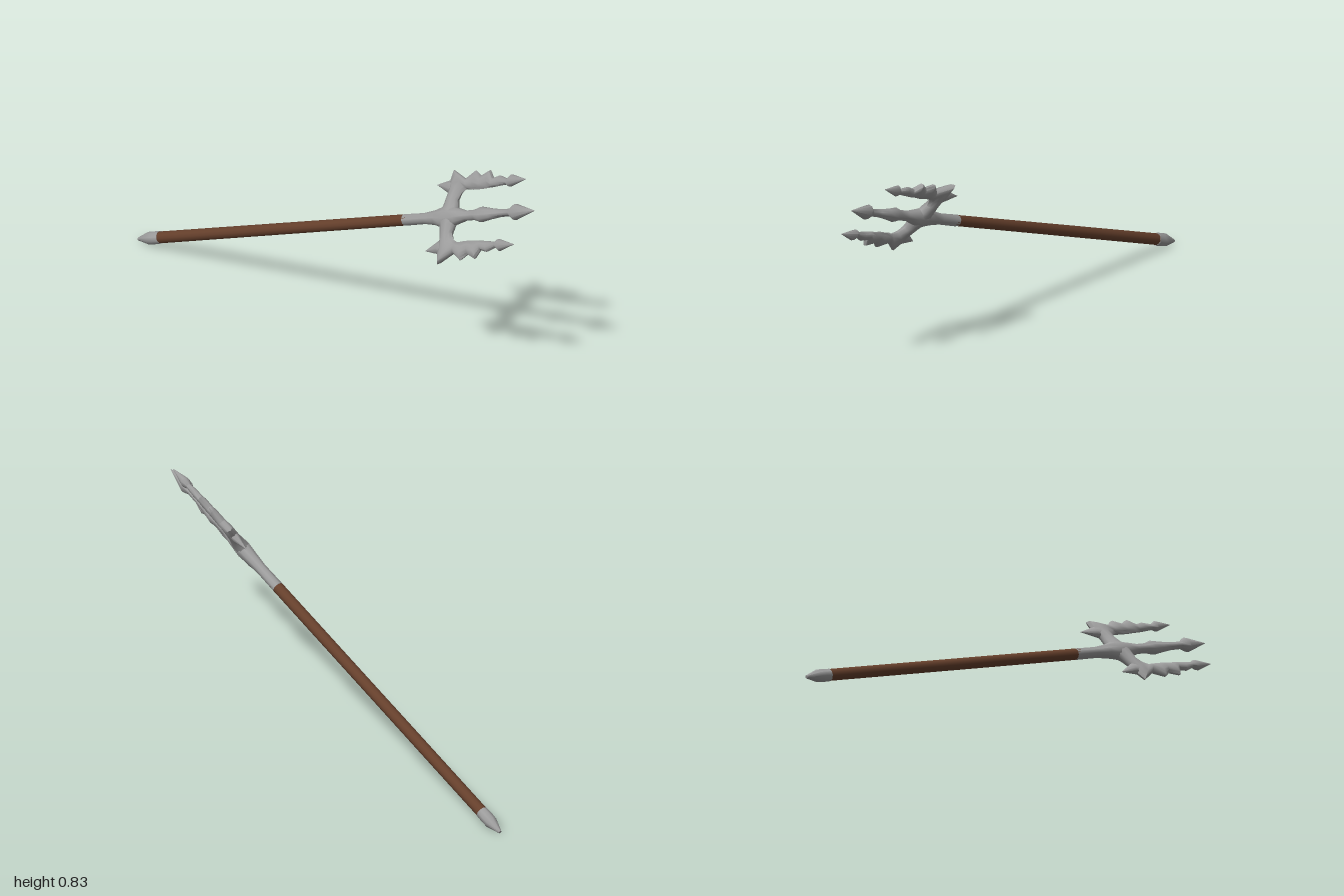
import * as THREE from 'three';
import { toCreasedNormals } from 'three/addons/utils/BufferGeometryUtils.js';

const SIDES = 10;

// Loft through elliptical rings: [x1, y1, x2, y2, halfThickness]
function loft(rings) {
  const pos = [], index = [];
  for (const [x1, y1, x2, y2, t] of rings) {
    for (let j = 0; j < SIDES; j++) {
      const a = (j / SIDES) * Math.PI * 2, c = Math.cos(a) / 2;
      pos.push((x1 + x2) / 2 + c * (x2 - x1), (y1 + y2) / 2 + c * (y2 - y1), Math.sin(a) * t);
    }
  }
  for (let i = 0; i < rings.length - 1; i++) {
    for (let j = 0; j < SIDES; j++) {
      const k = (j + 1) % SIDES;
      const a = i * SIDES + j, b = i * SIDES + k, c = b + SIDES, d = a + SIDES;
      index.push(a, b, c, a, c, d);
    }
  }
  // End caps
  const last = (rings.length - 1) * SIDES;
  for (let j = 1; j < SIDES - 1; j++) {
    index.push(0, j + 1, j, last, last + j, last + j + 1);
  }
  const geo = new THREE.BufferGeometry();
  geo.setAttribute('position', new THREE.Float32BufferAttribute(pos, 3));
  geo.setIndex(index);
  return toCreasedNormals(geo, 0.9);
}

const mirror = (rings) => rings.map(([x1, y1, x2, y2, t]) => [-x2, y2, -x1, y1, t]);
const straight = (rings) => rings.map(([w, y, t]) => [w, y, -w, y, t]);

export function createModel() {
  const metal = new THREE.MeshStandardMaterial({ color: 0x9c9c9c });
  metal.name = 'grey metal';
  const wood = new THREE.MeshStandardMaterial({ color: 0x66402c });
  wood.name = 'brown wood';

  const trident = new THREE.Group();
  trident.name = 'trident';
  const add = (name, geo, mat) => {
    const mesh = new THREE.Mesh(geo, mat);
    mesh.name = name;
    trident.add(mesh);
    return mesh;
  };

  // Wooden shaft, along local y
  add('shaft', new THREE.CylinderGeometry(0.022, 0.023, 1.35, 12), wood).position.y = 0.785;

  // Pointed metal butt cap
  add('buttCap', loft(straight([
    [0.006, 0, 0.006], [0.025, 0.06, 0.025], [0.026, 0.085, 0.026], [0.025, 0.118, 0.025],
  ])), metal);

  // Collar, hub and middle prong
  add('middleProng', loft(straight([
    [0.023, 1.44, 0.023], [0.022, 1.55, 0.022], [0.03, 1.61, 0.027], [0.048, 1.665, 0.032],
    [0.034, 1.72, 0.027], [0.02, 1.77, 0.02], [0.021, 1.82, 0.02], [0.031, 1.853, 0.026],
    [0.023, 1.9, 0.02], [0.016, 1.95, 0.016], [0.015, 2.005, 0.015], [0.033, 2.035, 0.026],
    [0.001, 2.137, 0.001],
  ])), metal);

  // Curved arm running into a side prong with a jagged outer edge
  const prong = [
    [0, 1.61, 0, 1.73, 0.03],
    [0.04, 1.642, 0.035, 1.715, 0.026],
    [0.095, 1.655, 0.065, 1.707, 0.022],
    [0.145, 1.652, 0.092, 1.722, 0.02],
    [0.189, 1.658, 0.105, 1.745, 0.019],
    [0.148, 1.735, 0.105, 1.755, 0.018],
    [0.18, 1.78, 0.102, 1.785, 0.017],
    [0.157, 1.815, 0.102, 1.815, 0.016],
    [0.178, 1.858, 0.104, 1.853, 0.016],
    [0.144, 1.88, 0.106, 1.88, 0.014],
    [0.153, 1.917, 0.109, 1.912, 0.014],
    [0.137, 1.96, 0.114, 1.955, 0.011],
    [0.153, 1.983, 0.104, 1.975, 0.019],
    [0.131, 2.058, 0.129, 2.058, 0.001],
  ];
  // Backward barb at the outer bend
  const barb = [
    [0.085, 1.685, 0.155, 1.685, 0.018],
    [0.094, 1.652, 0.148, 1.652, 0.016],
    [0.131, 1.582, 0.133, 1.582, 0.001],
  ];
  add('leftProng', loft(prong), metal);
  add('rightProng', loft(mirror(prong)), metal);
  add('leftBarb', loft(barb), metal);
  add('rightBarb', loft(mirror(barb)), metal);

  // Tilt: local y runs from butt to tip, local x across the prongs
  const along = new THREE.Vector3(-0.075, 0.75, 2).normalize();
  const across = new THREE.Vector3(0.6, 0.75, -0.27);
  across.addScaledVector(along, -across.dot(along)).normalize();
  const normal = new THREE.Vector3().crossVectors(across, along);
  trident.quaternion.setFromRotationMatrix(new THREE.Matrix4().makeBasis(across, along, normal));
  trident.position.set(0.064, 0.012, -1);

  const model = new THREE.Group();
  model.name = 'model';
  model.add(trident);
  return model;
}
